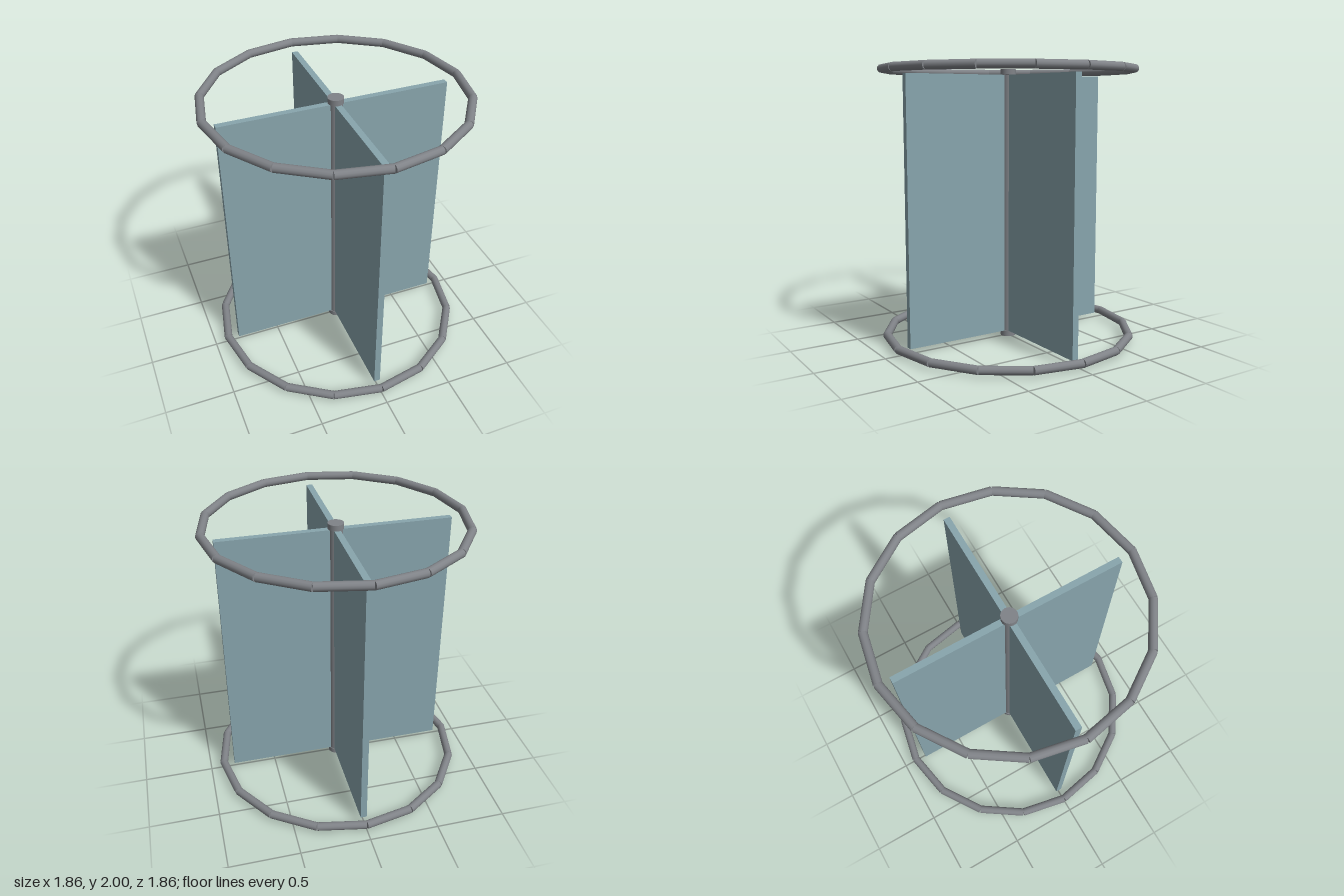
import * as THREE from 'three';

const RING_RADIUS = 0.9, TUBE = 0.03, SEGMENTS = 16;

export function createModel() {
  const model = new THREE.Group();
  model.name = 'revolvingDoor';
  const metal = new THREE.MeshStandardMaterial({ color: 0x808388 });
  metal.name = 'grey metal';
  const glass = new THREE.MeshStandardMaterial({ color: 0x88a5ad });
  glass.name = 'blue glass';

  const add = (parent, name, geometry, material, x, y, z) => {
    const mesh = new THREE.Mesh(geometry, material);
    mesh.name = name;
    mesh.position.set(x, y, z);
    parent.add(mesh);
    return mesh;
  };

  // Centre post with a wider collar at each end
  add(model, 'post', new THREE.CylinderGeometry(0.05, 0.05, 1.93, 24), metal, 0, 0.985, 0);
  const collar = new THREE.CylinderGeometry(0.056, 0.056, 0.04, 24);
  add(model, 'bottomCollar', collar, metal, 0, 0.02, 0);
  add(model, 'topCollar', collar, metal, 0, 1.95, 0);

  // Four wings at right angles, meeting inside the post
  const wing = new THREE.BoxGeometry(0.8, 1.89, 0.045);
  for (let i = 0; i < 4; i++) {
    const a = (i * Math.PI) / 2;
    const mesh = add(model, 'wing', wing, glass, 0.42 * Math.cos(a), 0.985, -0.42 * Math.sin(a));
    mesh.rotation.y = a;
  }

  // Rings made of straight rods laid end to end
  const step = (2 * Math.PI) / SEGMENTS;
  const rod = new THREE.CylinderGeometry(TUBE, TUBE, 2 * RING_RADIUS * Math.sin(step / 2), 12);
  rod.rotateX(Math.PI / 2);
  const middle = RING_RADIUS * Math.cos(step / 2);
  for (const [name, y] of [['bottomRing', 0.045], ['topRing', 1.97]]) {
    const ring = new THREE.Group();
    ring.name = name;
    ring.position.y = y;
    for (let i = 0; i < SEGMENTS; i++) {
      const a = (i + 0.5) * step;
      const mesh = add(ring, 'ringRod', rod, metal, middle * Math.cos(a), 0, -middle * Math.sin(a));
      mesh.rotation.y = a;
    }
    model.add(ring);
  }
  return model;
}
